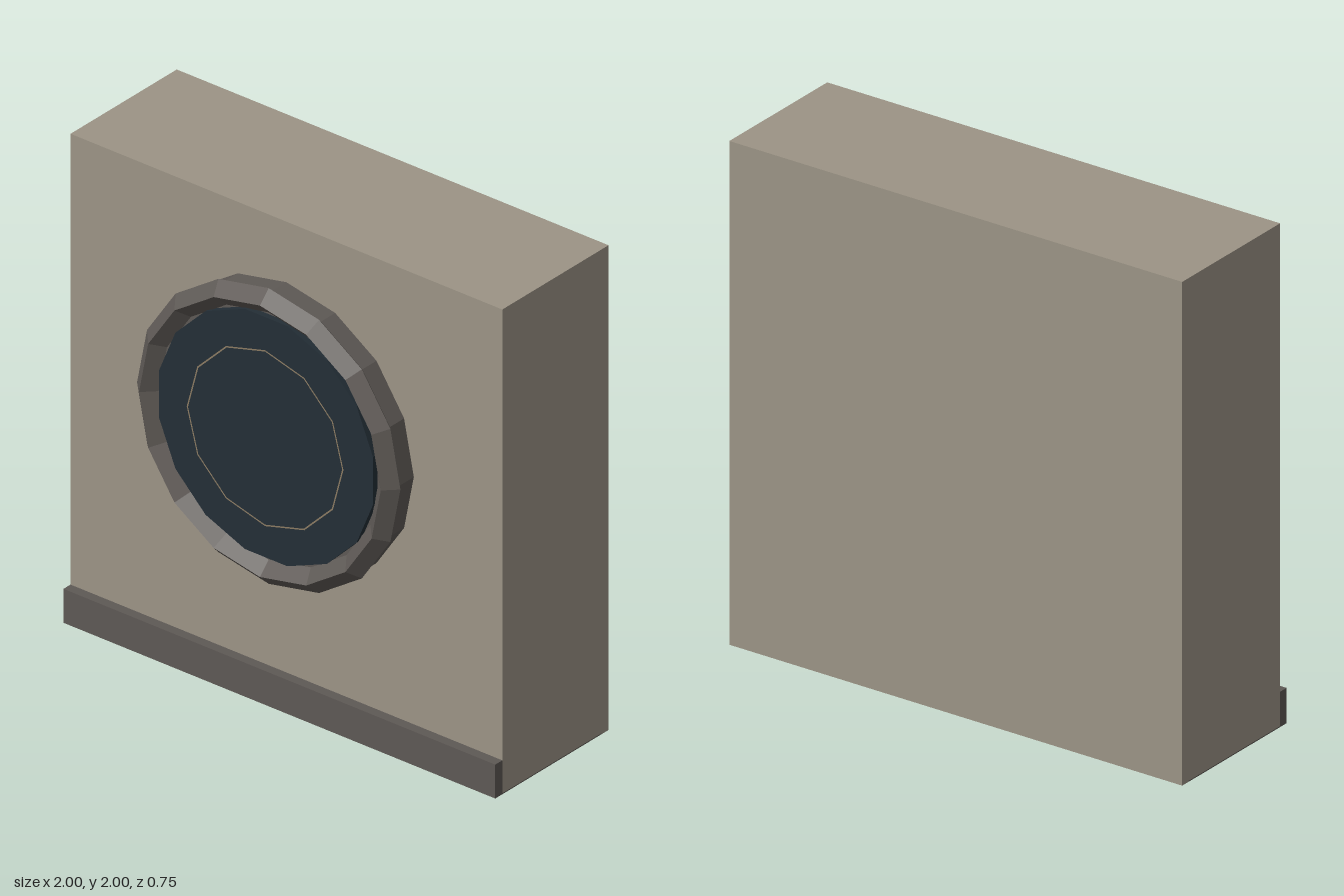
import * as THREE from 'three';

const mat = (name, color) => {
  const m = new THREE.MeshStandardMaterial({ color, flatShading: true });
  m.name = name;
  return m;
};

export function createModel() {
  const group = new THREE.Group();
  const stone = mat('wall stone', 0x9c9486);
  const metal = mat('dark trim', 0x5e5955);
  const glass = mat('dark glass', 0x232e36);
  const brass = mat('seam line', 0x8a7a62);

  const add = (name, geometry, material, x = 0, y = 0, z = 0) => {
    const mesh = new THREE.Mesh(geometry, material);
    mesh.name = name;
    mesh.position.set(x, y, z);
    group.add(mesh);
    return mesh;
  };
  // Box given by its y and z extents, spanning the full width
  const slab = (name, material, y0, y1, z0, z1) =>
    add(name, new THREE.BoxGeometry(2, y1 - y0, z1 - z0), material, 0, (y0 + y1) / 2, (z0 + z1) / 2);
  // Cylinder or disc facing the front, between two depths
  const drum = (name, material, radius, sides, z0, z1, turn = 0) => {
    const g = new THREE.CylinderGeometry(radius, radius, z1 - z0, sides);
    g.rotateX(Math.PI / 2).rotateZ(turn);
    return add(name, g, material, 0, 1.16, (z0 + z1) / 2);
  };

  // Wall panel with its base trim and sole
  slab('wall', stone, 0.004, 2, -0.375, 0.225);
  slab('wallRearFoot', stone, 0, 0.004, -0.375, -0.335);
  slab('sole', metal, 0, 0.004, -0.335, 0.225);
  slab('baseTrim', metal, 0, 0.14, 0.225, 0.265);

  // Round window: housing, bevelled rim, glass
  drum('windowHousing', metal, 0.59, 16, 0.22, 0.315);
  add('windowRim', new THREE.TorusGeometry(0.56, 0.05, 4, 16), metal, 0, 1.16, 0.325);
  drum('windowGlass', glass, 0.505, 16, 0.31, 0.34, Math.PI / 16);

  // Fine seam around the inner pane
  drum('innerPane', glass, 0.358, 12, 0.335, 0.345);
  add('paneSeam', new THREE.RingGeometry(0.357, 0.363, 12, 1), brass, 0, 1.16, 0.3455);

  return group;
}
